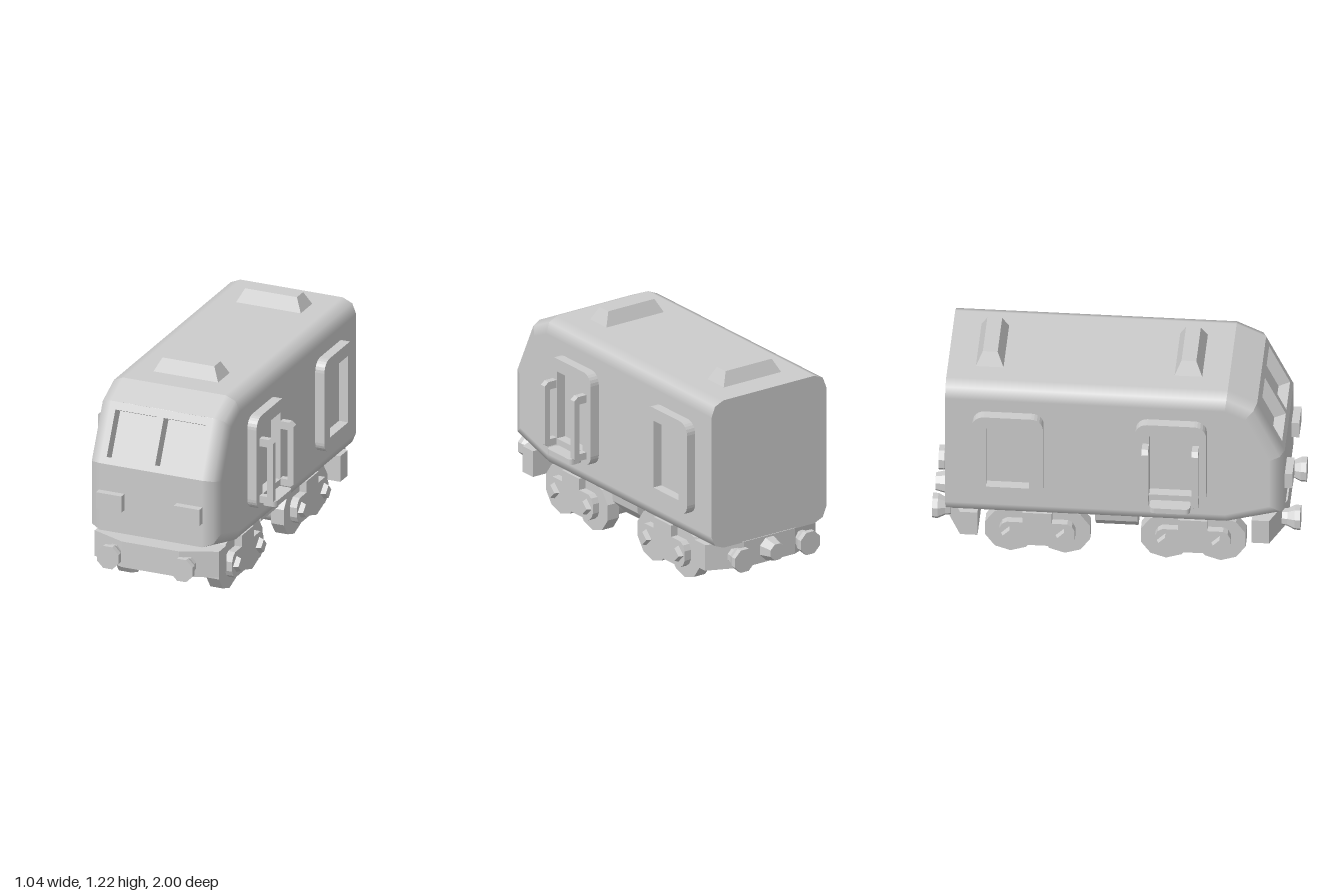
import * as THREE from 'three';

const mat = new THREE.MeshStandardMaterial({ color: 0xcccccc });
const flat = new THREE.MeshStandardMaterial({ color: 0xcccccc, flatShading: true });

function add(parent, name, geo, pos = [0, 0, 0], material = mat) {
  const m = new THREE.Mesh(geo, material);
  m.name = name;
  m.position.set(...pos);
  parent.add(m);
  return m;
}
const box = (w, h, d) => new THREE.BoxGeometry(w, h, d);
const polygon = (pts) => new THREE.Shape(pts.map((p) => new THREE.Vector2(...p)));
const extrude = (shape, depth, curveSegments = 3) =>
  new THREE.ExtrudeGeometry(shape, { depth, bevelEnabled: false, curveSegments });

function rectPath(x0, y0, x1, y1) {
  const p = new THREE.Path();
  p.moveTo(x0, y0).lineTo(x0, y1).lineTo(x1, y1).lineTo(x1, y0).closePath();
  return p;
}
function roundedRect(x0, y0, x1, y1, r) {
  const s = new THREE.Shape();
  s.absarc(x1 - r, y1 - r, r, 0, Math.PI / 2);
  s.absarc(x0 + r, y1 - r, r, Math.PI / 2, Math.PI);
  s.absarc(x0 + r, y0 + r, r, Math.PI, Math.PI * 1.5);
  s.absarc(x1 - r, y0 + r, r, Math.PI * 1.5, Math.PI * 2);
  s.closePath();
  return s;
}
// Plate standing on a side wall, its shape drawn in the z-y plane
function sidePlate(parent, name, shape, side, x, depth, z) {
  add(parent, name, extrude(shape, depth), [side * x, 0, z]).rotation.y = side * Math.PI / 2;
}

// Body shell: side profile [z, y] lofted across x with rounded edges
function bodyGeometry() {
  const P = [[-0.92, 1.135], [0.61, 1.135], [0.77, 1.06], [0.92, 0.75], [0.92, 0.36], [0.61, 0.275], [-0.92, 0.275]];
  const Q = [[-0.92, 1.05], [0.6, 1.05], [0.71, 1.0], [0.84, 0.73], [0.84, 0.425], [0.6, 0.355], [-0.92, 0.355]];
  const half = [0, Math.PI / 4, Math.PI / 2];
  const sections = [...half.map((a) => -a).reverse(), ...half].map((a, i) => ({
    x: (i < 3 ? -0.305 : 0.305) + 0.08 * Math.sin(a), t: 1 - Math.cos(a), s: Math.sin(a), c: Math.cos(a),
  }));
  const pos = [], nor = [];
  const point = (i, j) => {
    const { x, t } = sections[i], p = P[j], q = Q[j];
    return [x, p[1] + (q[1] - p[1]) * t, p[0] + (q[0] - p[0]) * t];
  };
  P.forEach((p, j) => {
    const k = (j + 1) % P.length, dz = P[k][0] - p[0], dy = P[k][1] - p[1], l = Math.hypot(dz, dy);
    const rear = k === 0;
    const normal = (i) => {
      const { s, c } = sections[i];
      return rear ? [0, 0, -1] : [s, c * dz / l, -c * dy / l];
    };
    for (let i = 0; i < 5; i++) {
      if (i === 2 && j === 2) continue; // windscreen panel fills this opening
      for (const [u, v] of [[i, j], [i, k], [i + 1, k], [i, j], [i + 1, k], [i + 1, j]]) {
        pos.push(...point(u, v));
        nor.push(...normal(u));
      }
    }
  });
  // Flat side walls
  for (let j = 1; j < Q.length - 1; j++) {
    for (const v of [0, j, j + 1]) { pos.push(...point(5, v)); nor.push(1, 0, 0); }
    for (const v of [0, j + 1, j]) { pos.push(...point(0, v)); nor.push(-1, 0, 0); }
  }
  const g = new THREE.BufferGeometry();
  g.setAttribute('position', new THREE.Float32BufferAttribute(pos, 3));
  g.setAttribute('normal', new THREE.Float32BufferAttribute(nor, 3));
  return g;
}

function buildWindscreen(parent) {
  const g = new THREE.Group();
  g.name = 'windscreen';
  g.position.set(0, 0.75, 0.92);
  g.rotation.x = -Math.atan2(0.15, 0.31);
  const panel = polygon([[-0.305, 0], [0.305, 0], [0.305, 0.344], [-0.305, 0.344]]);
  panel.holes.push(rectPath(0.018, 0.039, 0.27, 0.3), rectPath(-0.27, 0.039, -0.018, 0.3));
  add(g, 'windscreenFrame', extrude(panel, 0.07), [0, 0, -0.07]);
  add(g, 'windscreenPanes', box(0.58, 0.3, 0.01), [0, 0.172, -0.075]);
  parent.add(g);
}

function roofVent() {
  const g = box(0.39, 0.08, 0.155), p = g.attributes.position;
  for (let i = 0; i < p.count; i++) {
    if (p.getY(i) > 0) p.setXYZ(i, p.getX(i) * 0.79, p.getY(i), p.getZ(i) * 0.52);
  }
  g.computeVertexNormals();
  return g;
}

function buildBogie(parent, zc) {
  const g = new THREE.Group();
  g.name = 'bogie';
  g.position.z = zc;
  // Capsule-shaped core between the wheels
  const core = add(g, 'bogieCore', extrude(roundedRect(-0.232, 0.055, 0.232, 0.225, 0.0849), 0.48, 8), [-0.24, 0, 0]);
  core.rotation.y = Math.PI / 2;
  const plate = polygon([[-0.165, 0.065], [0.165, 0.065], [0.19, 0.085], [0.205, 0.115], [0.205, 0.17], [0.19, 0.2],
    [0.165, 0.215], [0.08, 0.215], [0.08, 0.28], [-0.08, 0.28], [-0.08, 0.215], [-0.165, 0.215], [-0.19, 0.2],
    [-0.205, 0.17], [-0.205, 0.115], [-0.19, 0.085]]);
  for (const s of [-1, 1]) {
    sidePlate(g, 'bogieSidePlate', plate, s, 0.3, 0.052, 0);
    for (const z of [-0.148, 0.148]) {
      const wheel = new THREE.CylinderGeometry(0.144, 0.144, 0.075, 10).rotateY(Math.PI / 2).rotateZ(Math.PI / 2);
      add(g, 'wheel', wheel, [s * 0.2725, 0.137, z], flat);
      const cap = new THREE.CylinderGeometry(0.037, 0.05, 0.035, 4).rotateZ(-s * Math.PI / 2);
      add(g, 'axleCap', cap, [s * 0.362, 0.14, z], flat);
    }
  }
  parent.add(g);
}

function buildBufferBeam(parent, dir, y, name) {
  const plan = [[-0.37, 0.745], [0.37, 0.745], [0.37, 0.84], [0.17, 0.925], [-0.17, 0.925], [-0.37, 0.84]];
  const geo = extrude(polygon(plan.map(([x, z]) => [x, z * dir])), 0.15).rotateX(Math.PI / 2);
  add(parent, name, geo, [0, y + 0.075, 0]);
  for (const x of [-0.22, 0.22]) {
    const profile = [[0, -0.1], [0.045, -0.1], [0.05, -0.07], [0.07, -0.03], [0.07, 0], [0, 0]];
    const buffer = new THREE.LatheGeometry(profile.map((p) => new THREE.Vector2(...p)), 8)
      .rotateY(Math.PI / 8).rotateX(dir * Math.PI / 2);
    add(parent, 'buffer', buffer, [x, y, dir], flat);
  }
}

// Rails and step beside the cab window
function buildHandrails(parent, s) {
  const rail = polygon([[0.43, 0.475], [0.5, 0.475], [0.52, 0.49], [0.52, 0.83], [0.495, 0.85], [0.43, 0.85],
    [0.43, 0.805], [0.484, 0.805], [0.484, 0.515], [0.43, 0.515]].map(([x, y]) => [x * s, y]));
  for (const z of [0.175, 0.447]) add(parent, 'handrail', extrude(rail, 0.036), [0, 0, z - 0.018]);
  const step = extrude(roundedRect(-0.0425, -0.11, 0.0425, 0.11, 0.025), 0.032).rotateX(Math.PI / 2);
  add(parent, 'doorStep', step, [s * 0.475, 0.474, 0.31]);
}

export function createModel() {
  const model = new THREE.Group();
  model.name = 'locomotive';
  add(model, 'body', bodyGeometry());
  buildWindscreen(model);
  for (const z of [0.387, -0.693]) add(model, 'roofVent', roofVent(), [0, 1.17, z]);

  // Raised frames around the side windows
  const frame = roundedRect(-0.193, 0.435, 0.193, 0.975, 0.065);
  frame.holes.push(rectPath(-0.117, 0.51, 0.117, 0.9));
  for (const s of [-1, 1]) {
    for (const z of [0.31, -0.577]) sidePlate(model, 'sideWindowFrame', frame, s, 0.37, 0.07, z);
    buildHandrails(model, s);
    add(model, 'headlamp', box(0.152, 0.095, 0.06), [s * 0.232, 0.547, 0.932]);
  }

  // Running gear
  for (const z of [0.423, -0.423]) buildBogie(model, z);
  const tank = polygon([[-0.3, 0.3], [-0.29, 0.21], [-0.21, 0.13], [0.21, 0.13], [0.29, 0.21], [0.3, 0.3]]);
  add(model, 'underfloorTank', extrude(tank, 0.23), [0, 0, -0.112]);

  // Ends
  buildBufferBeam(model, 1, 0.24, 'frontBeam');
  buildBufferBeam(model, -1, 0.205, 'rearBeam');
  const coupling = new THREE.CylinderGeometry(0.05, 0.073, 0.09, 8).rotateY(Math.PI / 8).rotateX(-Math.PI / 2);
  add(model, 'rearCoupling', coupling, [0, 0.205, -0.955], flat);
  return model;
}
